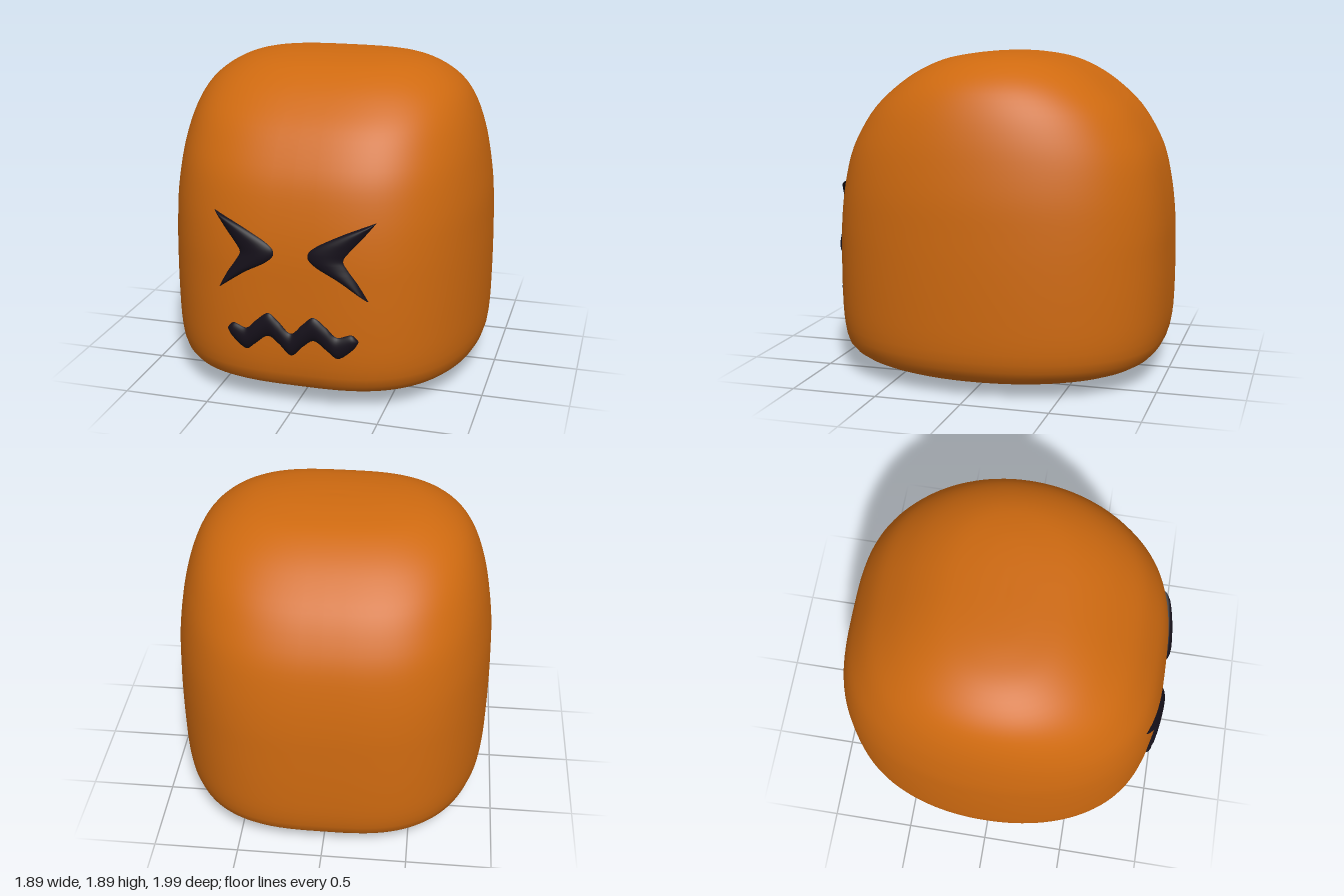
import * as THREE from 'three';

// Body levels: [height, half width, half depth]
const LEVELS = [
  [0, 0, 0], [0.006, 0.3, 0.25], [0.02, 0.52, 0.45], [0.05, 0.74, 0.67], [0.1, 0.865, 0.87],
  [0.15, 0.905, 0.94], [0.2, 0.925, 0.96], [0.3, 0.938, 0.977], [0.5, 0.944, 0.985],
  [0.75, 0.944, 0.983], [0.9, 0.94, 0.978], [1.1, 0.93, 0.955], [1.3, 0.902, 0.91],
  [1.43, 0.875, 0.85], [1.57, 0.83, 0.757], [1.69, 0.765, 0.63], [1.775, 0.675, 0.51],
  [1.845, 0.54, 0.36], [1.88, 0.37, 0.19], [1.89, 0.2, 0.06], [1.89, 0, 0],
];
const PX = 3.1, PZ = 2.05; // exponents of the rounded-square section
const Z0 = -0.01;
const profile = new THREE.CatmullRomCurve3(LEVELS.map(([y, a, b]) => new THREE.Vector3(a, y, b)))
  .getSpacedPoints(72);

// Depth of the body's front surface at (x, y)
function frontZ(x, y) {
  const i = Math.max(1, profile.findIndex((p) => p.y > y));
  const lo = profile[i - 1], hi = profile[i];
  const p = lo.clone().lerp(hi, (y - lo.y) / (hi.y - lo.y));
  return Z0 + p.z * Math.pow(1 - Math.pow(Math.abs(x) / p.x, PX), 1 / PZ);
}

function buildGeometry(positions, index) {
  const g = new THREE.BufferGeometry();
  g.setAttribute('position', new THREE.Float32BufferAttribute(positions, 3));
  g.setIndex(index);
  g.computeVertexNormals();
  return g;
}

// Soft block: rounded-square rings stacked along the profile
function bodyGeometry(seg = 128) {
  const pos = [], index = [];
  const power = (v, e) => Math.sign(v) * Math.pow(Math.abs(v), e);
  profile.forEach((p, i) => {
    for (let j = 0; j < seg; j++) {
      const t = (j / seg) * Math.PI * 2;
      pos.push(p.x * power(Math.cos(t), 2 / PX), p.y, Z0 + p.z * power(Math.sin(t), 2 / PZ));
      if (i === profile.length - 1) continue;
      const k = (j + 1) % seg, a = i * seg + j, b = i * seg + k;
      index.push(a, a + seg, b, b, a + seg, b + seg);
    }
  });
  return buildGeometry(pos, index);
}

// Puffy patch between two edge curves, laid on the front of the body
function patchGeometry(edgeA, edgeB, along = 96, across = 14, height = 0.028) {
  const [A, B] = [edgeA, edgeB].map((e) => new THREE.SplineCurve(e.map(([x, y]) => new THREE.Vector2(x, y))));
  const pos = [], index = [];
  for (let i = 0; i <= along; i++) {
    const t = i / along, a = A.getPoint(t), b = B.getPoint(t);
    const taper = Math.min(1, Math.sin(Math.PI * t) * 4);
    for (let j = 0; j <= across; j++) {
      const u = (1 - Math.cos((Math.PI * j) / across)) / 2;
      const p = a.clone().lerp(b, u);
      const puff = Math.sqrt(Math.max(0, Math.sin(Math.PI * u) * taper));
      pos.push(p.x, p.y, frontZ(p.x, p.y) - 0.004 + height * puff);
      if (i === along || j === across) continue;
      const k = i * (across + 1) + j, n = k + across + 1;
      index.push(k, n, k + 1, k + 1, n, n + 1);
    }
  }
  return buildGeometry(pos, index);
}

export function createModel() {
  const group = new THREE.Group();
  const orange = new THREE.MeshStandardMaterial({ color: 0xcf6a10 });
  const dark = new THREE.MeshStandardMaterial({ color: 0x15101a, side: THREE.DoubleSide });
  const add = (name, geometry, material) => {
    const mesh = new THREE.Mesh(geometry, material);
    mesh.name = name;
    group.add(mesh);
  };
  const mirror = (pts) => pts.map(([x, y]) => [-x, y]);

  add('body', bodyGeometry(), orange);

  // Squeezed-shut eyes: chevrons pointing at the middle
  const outer = [[0.46, 1.125], [0.29, 1.06], [0.135, 0.98], [0.095, 0.925], [0.14, 0.872], [0.27, 0.8], [0.43, 0.687]];
  const inner = [[0.46, 1.125], [0.4, 1.05], [0.325, 0.965], [0.295, 0.915], [0.32, 0.865], [0.375, 0.785], [0.43, 0.687]];
  add('leftEye', patchGeometry(outer, inner), dark);
  add('rightEye', patchGeometry(mirror(inner), mirror(outer)), dark);

  // Zigzag mouth: half of each edge, mirrored
  const both = (half) => [...half, ...mirror(half.slice(0, -1)).reverse()];
  const lower = both([[-0.38, 0.455], [-0.35, 0.405], [-0.27, 0.345], [-0.215, 0.38], [-0.135, 0.44], [-0.07, 0.4], [0, 0.337]]);
  const upper = both([[-0.38, 0.455], [-0.34, 0.493], [-0.26, 0.475], [-0.2, 0.53], [-0.13, 0.58], [-0.07, 0.535], [0, 0.472]]);
  add('mouth', patchGeometry(lower, upper), dark);

  return group;
}
